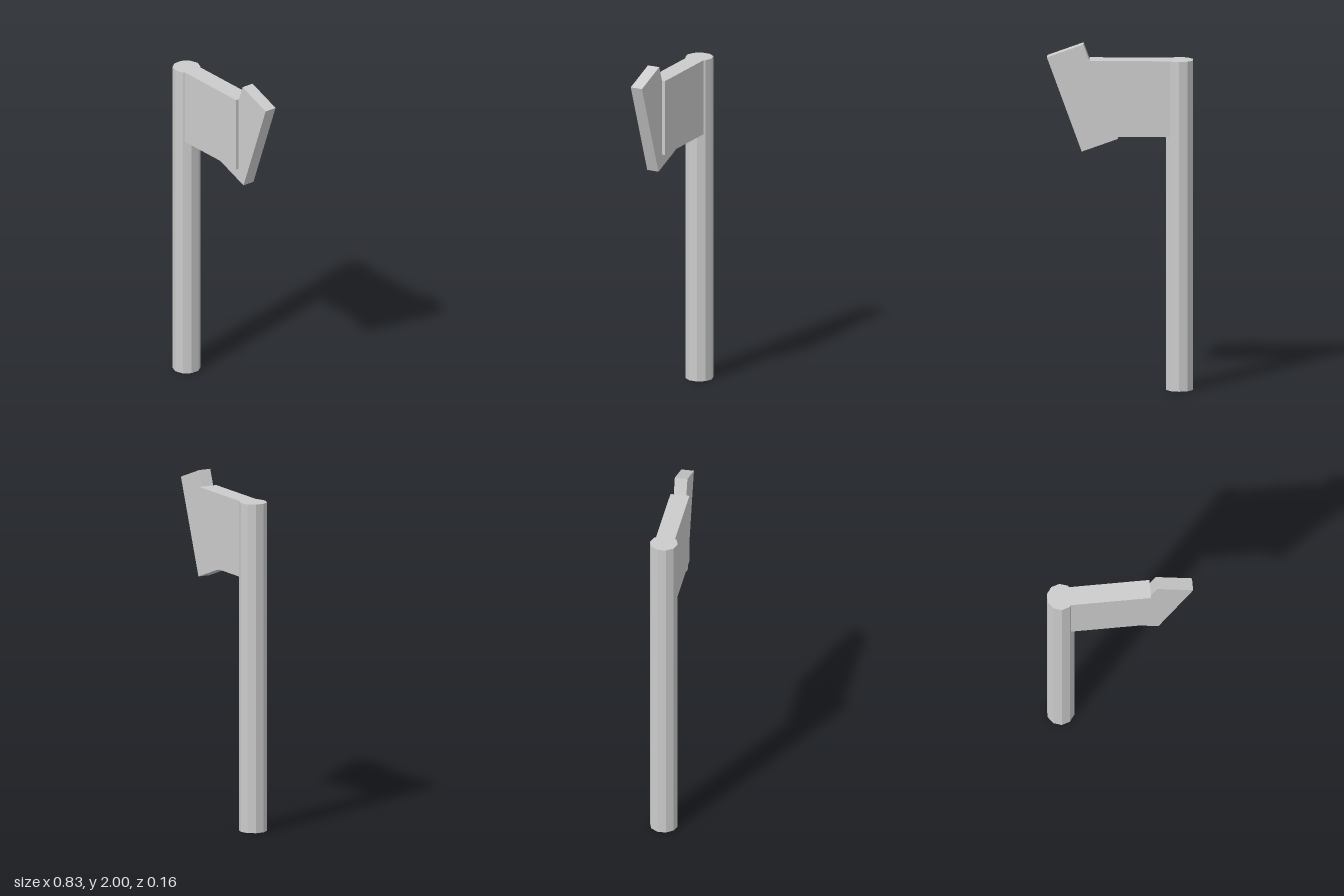
import * as THREE from 'three';

export function createModel() {
  const model = new THREE.Group();
  const material = new THREE.MeshStandardMaterial({ color: 0xcccccc, flatShading: true });

  function add(name, geometry, x, y, tilt = 0) {
    const mesh = new THREE.Mesh(geometry, material);
    mesh.name = name;
    mesh.position.set(x, y, 0);
    mesh.rotation.z = tilt;
    model.add(mesh);
  }

  // Ten-sided upright handle
  add('handle', new THREE.CylinderGeometry(0.08, 0.08, 1.91, 10), -0.34, 0.955);

  // Thick head block, running from the handle's axis outwards, flush with its top
  add('headBlock', new THREE.BoxGeometry(0.513, 0.44, 0.11), -0.0835, 1.69);

  // Thinner blade, tilted through the end of the block
  add('blade', new THREE.BoxGeometry(0.22, 0.58, 0.073), 0.212, 1.69, THREE.MathUtils.degToRad(-20));

  return model;
}
